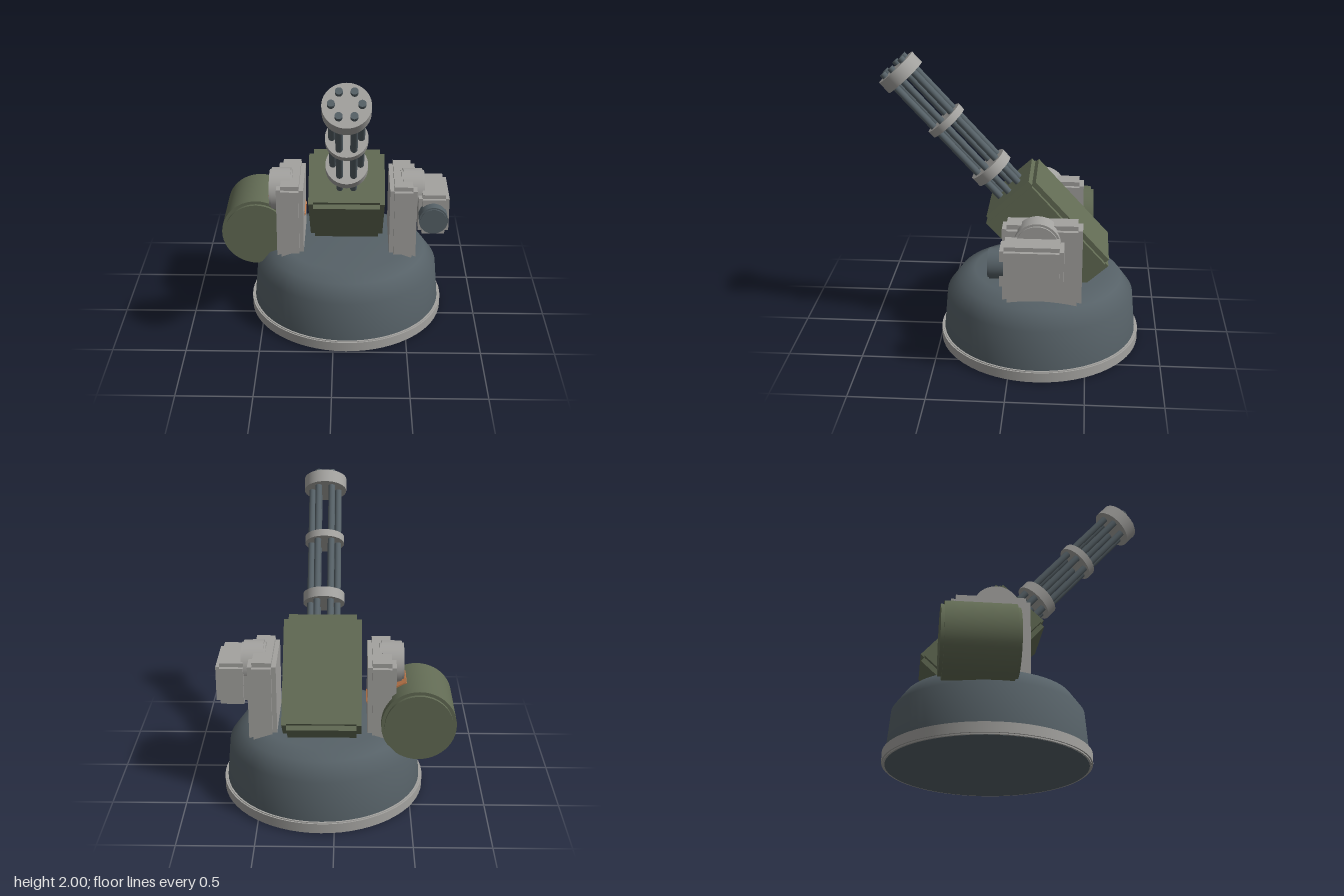
import * as THREE from 'three';

const paint = (name, color) => {
  const m = new THREE.MeshStandardMaterial({ color });
  m.name = name;
  return m;
};

export function createModel() {
  const steel = paint('blue steel', 0x566167);
  const grey = paint('light grey', 0xa3a29f);
  const olive = paint('olive green', 0x626b54);
  const copper = paint('copper', 0xc07a4c);

  const model = new THREE.Group();
  model.name = 'turret';
  const midX = 0.085;

  const add = (parent, name, geometry, material, x = 0, y = 0, z = 0) => {
    const mesh = new THREE.Mesh(geometry, material);
    mesh.name = name;
    mesh.position.set(x, y, z);
    parent.add(mesh);
    return mesh;
  };

  // Box with stepped edges: three crossing boxes, each full size on one axis
  const steppedBox = (parent, name, material, size, pos, step = 0.033) => {
    const group = new THREE.Group();
    group.name = name;
    group.position.set(...pos);
    for (let axis = 0; axis < 3; axis++) {
      const s = size.map((v, i) => (i === axis ? v : v - 2 * step));
      // widen the two thinner boxes so that only the outer edges are notched
      const t = size.map((v, i) => (i === axis ? v - 2 * step : v));
      add(group, name + 'Core', new THREE.BoxGeometry(...s), material);
      if (axis === 0) continue;
      t[0] = size[0] - 2 * step;
      t[axis] = size[axis];
      t[3 - axis] = size[3 - axis] - 2 * step;
    }
    parent.add(group);
    return group;
  };

  // Cylinder along x or z with stepped rims
  const steppedCylinder = (parent, name, material, r, length, axis, pos, step) => {
    const group = new THREE.Group();
    group.name = name;
    group.position.set(...pos);
    if (axis === 'x') group.rotation.z = Math.PI / 2;
    else group.rotation.x = Math.PI / 2;
    add(group, name + 'Wall', new THREE.CylinderGeometry(r, r, length - 2 * step, 48), material);
    add(group, name + 'Caps', new THREE.CylinderGeometry(r - step, r - step, length, 48), material);
    parent.add(group);
    return group;
  };

  // Domed base and its foot ring
  const base = new THREE.Group();
  base.name = 'base';
  base.position.set(midX, 0, -0.18);
  model.add(base);
  const dome = [[0.66, 0], [0.66, 0.08], [0.636, 0.35], [0.556, 0.46], [0.445, 0.507], [0, 0.507]]
    .map(([r, y]) => new THREE.Vector2(r, y));
  add(base, 'dome', new THREE.LatheGeometry(dome, 64), steel);
  const floor = add(base, 'baseFloor', new THREE.CircleGeometry(0.66, 64), steel);
  floor.rotation.x = Math.PI / 2;
  add(base, 'footRing', new THREE.CylinderGeometry(0.682, 0.682, 0.065, 64), grey, 0, 0.0425, 0);
  add(base, 'footRingLip', new THREE.CylinderGeometry(0.672, 0.672, 0.079, 64), grey, 0, 0.0405, 0);

  // Side posts with pivot discs
  for (const side of [-1, 1]) {
    const label = side > 0 ? 'left' : 'right';
    steppedBox(model, label + 'Post', grey, [0.186, 0.62, 0.515], [midX + side * 0.39, 0.7, -0.21], 0.03);
    steppedCylinder(model, label + 'PivotDisc', grey, 0.15, 0.16, 'x',
      [midX + side * 0.457, 0.9, -0.18], 0.014);
  }

  // Gear box with motor on the left post
  steppedBox(model, 'gearBox', grey, [0.21, 0.295, 0.4], [0.682, 0.808, -0.153], 0.027);
  steppedCylinder(model, 'motor', steel, 0.098, 0.16, 'z', [0.675, 0.808, 0.043], 0.01);

  // Ammunition drum and feed chute on the right
  steppedCylinder(model, 'ammoDrum', olive, 0.245, 0.49, 'z', [-0.545, 0.606, -0.297], 0.022);
  const chute = steppedBox(model, 'feedChute', copper, [0.31, 0.13, 0.215], [-0.365, 0.727, -0.273], 0.014);
  chute.rotation.z = -0.46;

  // Elevated gun: local +z runs along the barrels
  const gun = new THREE.Group();
  gun.name = 'gun';
  gun.position.set(midX, 0.8, -0.2375);
  gun.rotation.x = -0.832;
  model.add(gun);
  // Housing: full width between the stepped long edges
  steppedBox(gun, 'housing', olive, [0.515, 0.438, 0.789], [0, 0, 0]);

  for (let i = 0; i < 6; i++) {
    const a = (i * Math.PI) / 3;
    const barrel = add(gun, 'barrel', new THREE.CylinderGeometry(0.023, 0.023, 1.2, 20), steel,
      0.091 * Math.cos(a), 0.091 * Math.sin(a), 0.918);
    barrel.rotation.x = Math.PI / 2;
  }
  for (const [name, z, r, thickness] of [
    ['rearClamp', 0.578, 0.14, 0.07],
    ['middleClamp', 1.013, 0.135, 0.05],
    ['muzzleClamp', 1.443, 0.147, 0.09],
  ]) {
    const clamp = add(gun, name, new THREE.CylinderGeometry(r, r, thickness, 48), grey, 0, 0, z);
    clamp.rotation.x = Math.PI / 2;
  }
  return model;
}
